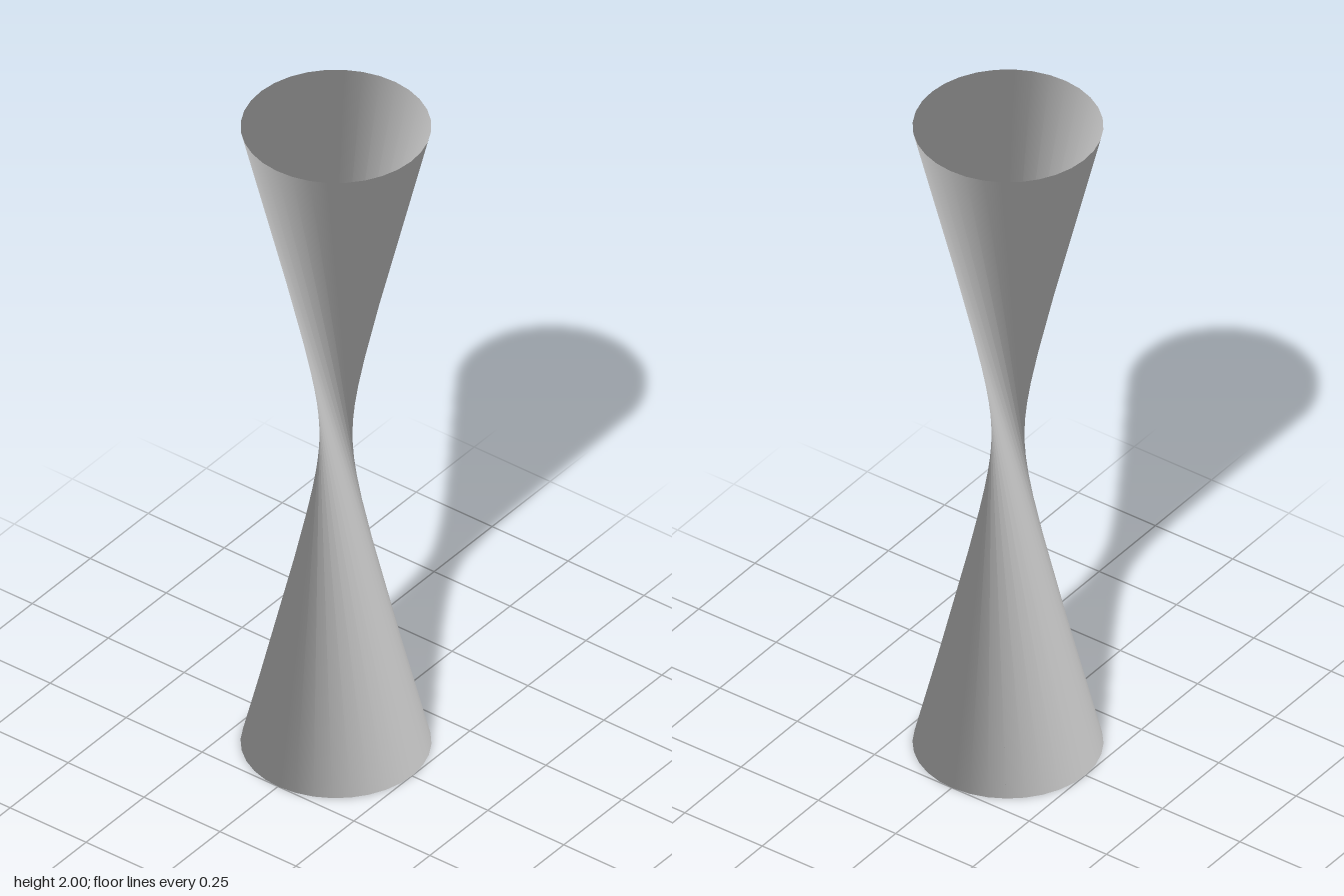
import * as THREE from 'three';

export function createModel() {
  const group = new THREE.Group();
  group.name = 'twistedTube';

  const radius = 0.25, height = 2, sides = 32;
  const twist = THREE.MathUtils.degToRad(160);
  const step = 2 * Math.PI / sides;

  // Open tube with straight sides; the two rims are turned against each other to pinch the waist
  const tube = new THREE.CylinderGeometry(radius, radius, height, sides, 1, true);
  tube.translate(0, height / 2, 0);
  const { position, normal, uv } = tube.attributes;
  for (let i = 0; i < position.count; i++) {
    const isTop = position.getY(i) > height / 2;
    // Each strip faces outward at the waist, halfway round between its two rim ends
    const facing = Math.PI / 2 + uv.getX(i) * 2 * Math.PI + (isTop ? 0 : step);
    const angle = facing + (isTop ? -twist / 2 : twist / 2);
    position.setX(i, radius * Math.sin(angle));
    position.setZ(i, radius * Math.cos(angle));
    normal.setXYZ(i, Math.sin(facing), 0, Math.cos(facing));
  }

  const material = new THREE.MeshStandardMaterial({ color: 0xcccccc, side: THREE.DoubleSide });
  const shell = new THREE.Mesh(tube, material);
  shell.name = 'twistedShell';
  group.add(shell);
  return group;
}
